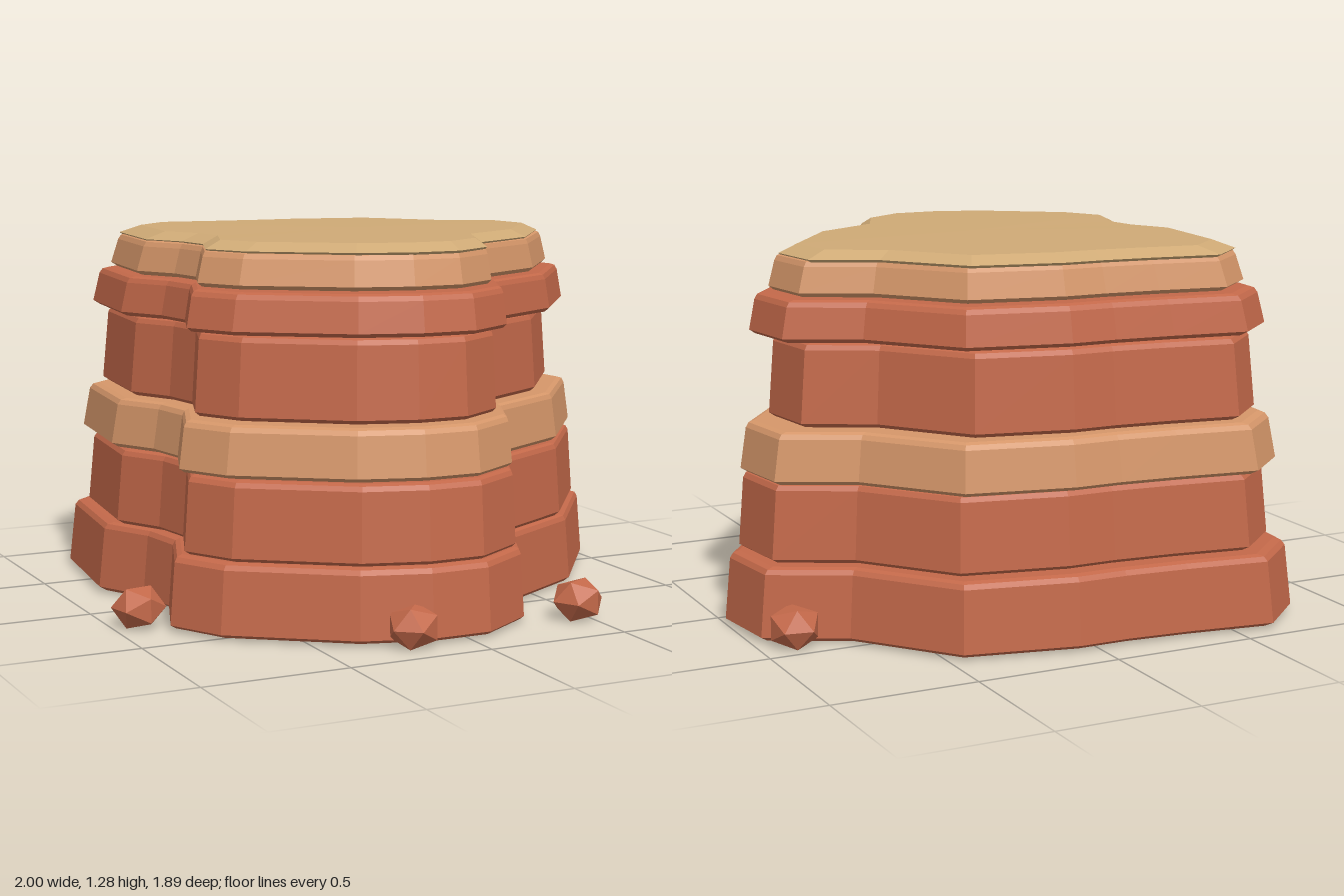
import * as THREE from 'three';

const terracotta = new THREE.MeshStandardMaterial({ color: 0xc4694a, flatShading: true });
terracotta.name = 'terracotta rock';
const sandstone = new THREE.MeshStandardMaterial({ color: 0xd6976a, flatShading: true });
sandstone.name = 'sandstone';
const sand = new THREE.MeshStandardMaterial({ color: 0xcfaa76, flatShading: true });
sand.name = 'pale sand';

// Ground outline of the mesa as [x, z], clockwise from above
const OUTLINE = [
  [-0.63, -0.94], [-0.34, -0.9], [-0.11, -0.88], [0.07, -0.88], [0.455, -0.8], [0.71, -0.475],
  [0.97, -0.34], [1.0, -0.08], [0.71, 0.31], [0.38, 0.5], [0.27, 0.74], [0.07, 0.87],
  [-0.14, 0.87], [-0.37, 0.8], [-0.74, 0.53], [-0.84, 0.34], [-0.745, 0.08], [-0.77, -0.1],
  [-0.865, -0.29], [-0.81, -0.775],
];
const BASE = [-0.865, 1.0, -0.94, 0.87];

// Fits the outline into a box [xMin, xMax, zMin, zMax]
function fitOutline([x0, x1, z0, z1]) {
  const [bx0, bx1, bz0, bz1] = BASE;
  return OUTLINE.map(([x, z]) => [
    x0 + ((x - bx0) / (bx1 - bx0)) * (x1 - x0),
    z0 + ((z - bz0) / (bz1 - bz0)) * (z1 - z0),
  ]);
}

// Closed solid from scaled copies of an outline; rings are [y, scale] from bottom to top
function stackRings(box, rings, crown = 0) {
  const outline = fitOutline(box);
  const n = outline.length;
  const cx = (box[0] + box[1]) / 2;
  const cz = (box[2] + box[3]) / 2;
  const pos = [];
  const index = [];
  for (const [y, s] of rings) {
    for (const [x, z] of outline) pos.push(cx + (x - cx) * s, y, cz + (z - cz) * s);
  }
  const bottom = rings.length * n;
  const last = (rings.length - 1) * n;
  pos.push(cx, rings[0][0], cz, cx, rings[rings.length - 1][0] + crown, cz);
  for (let i = 0; i < n; i++) {
    const j = (i + 1) % n;
    for (let r = 0; r < last; r += n) {
      index.push(r + j, r + i, r + n + i, r + j, r + n + i, r + n + j);
    }
    index.push(bottom, i, j, bottom + 1, last + j, last + i);
  }
  const geometry = new THREE.BufferGeometry();
  geometry.setAttribute('position', new THREE.Float32BufferAttribute(pos, 3));
  geometry.setIndex(index);
  const flat = geometry.toNonIndexed();
  flat.computeVertexNormals();
  return flat;
}

// Tapered layer with bevelled lower and upper edges
function layerGeometry(box, y0, y1, taper) {
  return stackRings(box, [
    [y0, 0.975], [y0 + 0.014, 1], [y1 - 0.022, taper], [y1 - 0.006, taper - 0.012], [y1, taper - 0.035],
  ]);
}

export function createModel() {
  const group = new THREE.Group();
  group.name = 'mesa';
  const add = (name, geometry, material) => {
    const mesh = new THREE.Mesh(geometry, material);
    mesh.name = name;
    group.add(mesh);
    return mesh;
  };

  // Rock strata from the ground up
  const layers = [
    ['baseLayer', BASE, 0.01, 0.255, 0.978, terracotta],
    ['lowerLayer', [-0.81, 0.935, -0.845, 0.83], 0.255, 0.52, 0.978, terracotta],
    ['lowerBand', [-0.815, 0.935, -0.88, 0.805], 0.525, 0.697, 0.975, sandstone],
    ['upperLayer', [-0.745, 0.83, -0.83, 0.75], 0.705, 0.982, 0.975, terracotta],
    ['ledgeLayer', [-0.78, 0.89, -0.835, 0.78], 0.988, 1.125, 0.975, terracotta],
    ['upperBand', [-0.725, 0.82, -0.765, 0.7], 1.13, 1.25, 0.97, sandstone],
  ];
  for (const [name, box, y0, y1, taper, material] of layers) {
    add(name, layerGeometry(box, y0, y1, taper), material);
  }

  // Sandy plateau with a sloping rim
  add('plateau', stackRings([-0.69, 0.785, -0.76, 0.68], [[1.243, 0.985], [1.252, 1], [1.279, 0.91]], 0.006), sand);

  // Loose boulders at the foot: x, z, turn
  const boulders = [
    [-0.91, 0.23, 0.2], [-0.21, 0.86, 0.9], [0.455, 0.78, 0.5], [0.88, -0.41, 1.4],
  ];
  const boulder = new THREE.IcosahedronGeometry(0.092, 0);
  boulders.forEach(([x, z, turn], i) => {
    const mesh = add(`boulder${i + 1}`, boulder, terracotta);
    mesh.position.set(x, 0.07, z);
    mesh.rotation.y = turn;
    mesh.scale.y = 0.85;
  });

  return group;
}
